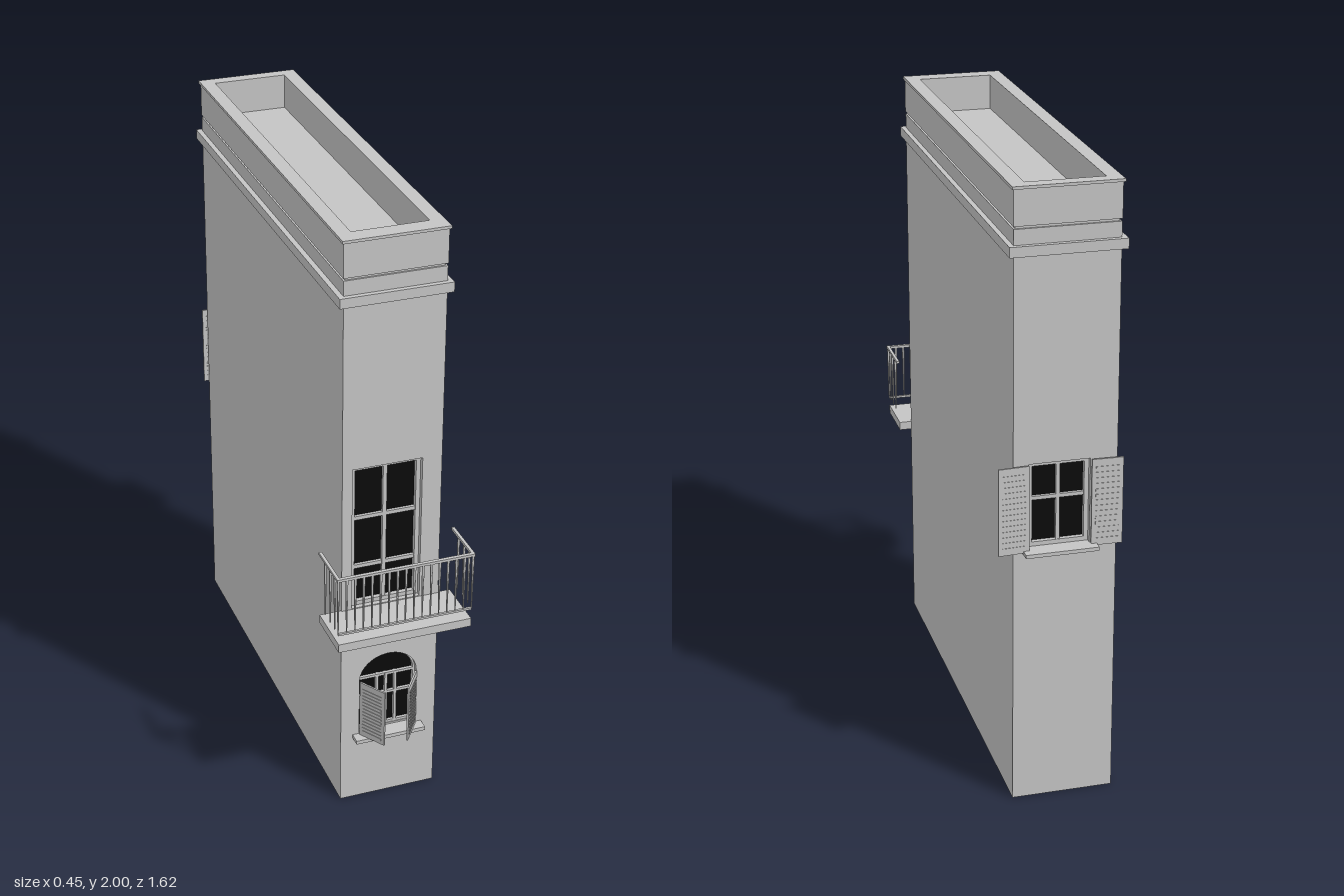
import * as THREE from 'three';

const stone = new THREE.MeshStandardMaterial({ color: 0xc4c4c4 });
stone.name = 'pale grey stone';
const dark = new THREE.MeshStandardMaterial({ color: 0x0a0a0a });
dark.name = 'dark glass';

// Body extents
const X0 = -0.153, X1 = 0.172, ZF = 0.637, ZB = -0.765, WALL = 0.04, TOP = 1.872;

function add(parent, name, geometry, material = stone) {
  const mesh = new THREE.Mesh(geometry, material);
  mesh.name = name;
  parent.add(mesh);
  return mesh;
}

// Box given by its lower and upper corners
function block(parent, name, x0, x1, y0, y1, z0, z1, material) {
  const g = new THREE.BoxGeometry(x1 - x0, y1 - y0, z1 - z0);
  g.translate((x0 + x1) / 2, (y0 + y1) / 2, (z0 + z1) / 2);
  return add(parent, name, g, material);
}

// Rectangle, with an optional elliptical arch of the given rise on top
function outline(x0, x1, y0, y1, rise = 0, Type = THREE.Shape) {
  const s = new Type();
  s.moveTo(x0, y0);
  s.lineTo(x1, y0);
  s.lineTo(x1, y1);
  if (rise) s.absellipse((x0 + x1) / 2, y1, (x1 - x0) / 2, rise, 0, Math.PI, false);
  else s.lineTo(x0, y1);
  s.closePath();
  return s;
}

function plate(parent, name, shape, z, depth, material) {
  const g = new THREE.ExtrudeGeometry(shape, { depth, bevelEnabled: false, curveSegments: 16 });
  g.translate(0, 0, z);
  return add(parent, name, g, material);
}

// Wall with openings
function wall(parent, name, z, openings) {
  const s = outline(X0, X1, 0, TOP);
  for (const o of openings) s.holes.push(outline(o.x0, o.x1, o.y0, o.y1, o.rise, THREE.Path));
  plate(parent, name, s, z, WALL);
}

// Horizontal ring around the building, open in the middle
function ring(parent, name, x0, x1, z0, z1, y, h, hole) {
  const s = outline(x0, x1, -z1, -z0);
  s.holes.push(outline(hole[0], hole[1], -hole[3], -hole[2], 0, THREE.Path));
  const g = new THREE.ExtrudeGeometry(s, { depth: h, bevelEnabled: false });
  g.rotateX(-Math.PI / 2);
  g.translate(0, y, 0);
  add(parent, name, g);
}

// Recessed window: glass, frame and glazing bars
function windowUnit(parent, name, o, zWall, dir) {
  const group = new THREE.Group();
  group.name = name;
  parent.add(group);
  const zg = zWall - dir * 0.034;
  plate(group, 'glass', outline(o.x0, o.x1, o.y0, o.y1, o.rise), zg - 0.003, 0.006, dark);
  const frame = outline(o.x0, o.x1, o.y0, o.y1, o.rise);
  const f = o.frame;
  frame.holes.push(outline(o.x0 + f, o.x1 - f, o.y0 + f, o.y1 - (o.rise ? 0 : f),
    o.rise ? o.rise - f : 0, THREE.Path));
  const zf = zg + dir * 0.01;
  plate(group, 'frame', frame, zf - 0.008, 0.016);
  const t = o.bar / 2;
  for (const x of o.uprights) block(group, 'upright', x - t, x + t, o.y0, o.y1, zf - 0.006, zf + 0.006);
  for (const y of o.bars) block(group, 'crossbar', o.x0, o.x1, y - t, y + t, zf - 0.005, zf + 0.005);
}

// Shutter hinged at (x, z), reaching to (x2, z2)
function shutter(parent, name, x, z, x2, z2, y0, y1) {
  const len = Math.hypot(x2 - x, z2 - z);
  const group = new THREE.Group();
  group.name = name;
  group.position.set(x, 0, z);
  group.rotation.y = -Math.atan2(z2 - z, x2 - x);
  parent.add(group);
  block(group, 'panel', 0, len, y0, y1, -0.003, 0.003);
  const n = 14, step = (y1 - y0 - 0.03) / n;
  for (let i = 0; i < n; i++) {
    const y = y0 + 0.015 + i * step;
    block(group, 'slat', 0.012, len - 0.012, y, y + step * 0.5, -0.0045, 0.0045);
  }
}

function balcony(parent) {
  const group = new THREE.Group();
  group.name = 'balcony';
  parent.add(group);
  const x0 = -0.224, x1 = 0.216, zr = 0.8;
  block(group, 'slab', x0, x1 - 0.002, 0.708, 0.737, ZF - 0.005, 0.807);
  block(group, 'frontTopRail', x0 - 0.005, x1 + 0.005, 0.962, 0.971, zr - 0.006, zr + 0.006);
  block(group, 'frontLowerRail', x0, x1, 0.767, 0.774, zr - 0.004, zr + 0.004);
  for (const x of [x0, x1]) {
    block(group, 'sideTopRail', x - 0.005, x + 0.005, 0.962, 0.971, ZF, zr);
  }
  // Tapering balusters
  const rod = new THREE.CylinderGeometry(0.0045, 0.002, 0.192, 6);
  const baluster = (x, z) => add(group, 'baluster', rod).position.set(x, 0.868, z);
  const n = 16;
  for (let i = 0; i <= n; i++) baluster(x0 + (x1 - x0) * i / n, zr);
  for (const x of [x0, x1]) for (const z of [0.77, 0.73, 0.685]) baluster(x, z);
}

export function createModel() {
  const model = new THREE.Group();
  model.name = 'townhouse';

  const tall = { x0: -0.12, x1: 0.108, y0: 0.74, y1: 1.24, frame: 0.014, bar: 0.013,
    uprights: [-0.007], bars: [1.055, 0.88] };
  const arched = { x0: -0.09, x1: 0.105, y0: 0.25, y1: 0.455, rise: 0.088, frame: 0.006, bar: 0.009,
    uprights: [-0.022, 0.008, 0.04], bars: [0.26, 0.378, 0.45] };
  const rear = { x0: -0.068, x1: 0.123, y0: 0.863, y1: 1.14, frame: 0.014, bar: 0.012,
    uprights: [0.0275], bars: [1.02] };

  // Main volume
  block(model, 'core', X0, X1, 0, TOP, ZB + WALL, ZF - WALL);
  wall(model, 'frontWall', ZF - WALL, [tall, arched]);
  wall(model, 'backWall', ZB, [rear]);

  // Cornice and roof parapet
  block(model, 'cornice', -0.17, 0.188, 1.792, 1.824, -0.78, 0.653);
  block(model, 'roofDeck', X0 + 0.006, X1 - 0.006, TOP, 1.884, ZB + 0.006, ZF - 0.006);
  const well = [-0.113, 0.132, -0.73, 0.585];
  ring(model, 'parapet', X0 - 0.001, X1 + 0.001, ZB - 0.001, ZF + 0.001, 1.88, 0.112, well);
  ring(model, 'coping', X0 - 0.006, X1 + 0.006, ZB - 0.008, ZF + 0.007, 1.991, 0.009, well);

  // Windows
  windowUnit(model, 'balconyWindow', tall, ZF, 1);
  windowUnit(model, 'archedWindow', arched, ZF, 1);
  windowUnit(model, 'rearWindow', rear, ZB, -1);
  block(model, 'archedWindowSill', -0.112, 0.125, 0.237, 0.25, ZF - 0.03, 0.675);
  block(model, 'rearWindowSill', -0.088, 0.143, 0.851, 0.863, -0.808, ZB + 0.03);

  // Shutters, half open in front and folded flat behind
  shutter(model, 'frontShutterRight', -0.088, 0.64, -0.035, 0.724, 0.25, 0.455);
  shutter(model, 'frontShutterLeft', 0.103, 0.64, 0.043, 0.724, 0.25, 0.455);
  shutter(model, 'rearShutterRight', -0.07, -0.775, -0.168, -0.778, 0.857, 1.14);
  shutter(model, 'rearShutterLeft', 0.125, -0.775, 0.222, -0.78, 0.857, 1.14);

  balcony(model);
  return model;
}
